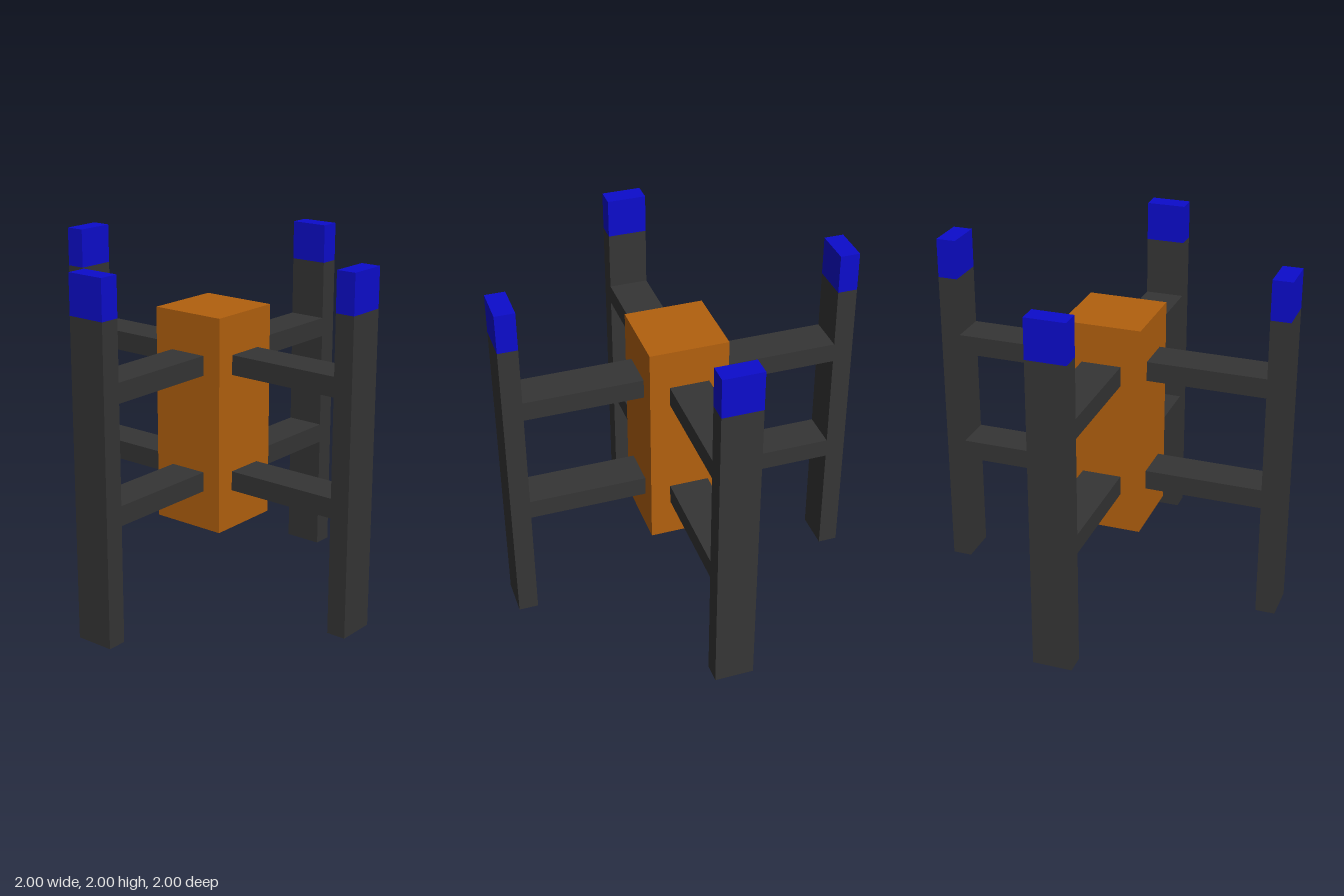
import * as THREE from 'three';

const U = 1 / 9; // the whole design sits on a grid of ninths

export function createModel() {
  const orange = new THREE.MeshStandardMaterial({ name: 'orange', color: 0xb2600e });
  const charcoal = new THREE.MeshStandardMaterial({ name: 'charcoal', color: 0x353535 });
  const blue = new THREE.MeshStandardMaterial({ name: 'blue', color: 0x0c0ccc });

  // Box given by its size and centre, in grid units
  function box(name, [w, h, d], [x, y, z], material) {
    const mesh = new THREE.Mesh(new THREE.BoxGeometry(w * U, h * U, d * U), material);
    mesh.position.set(x * U, y * U, z * U);
    mesh.name = name;
    return mesh;
  }

  const model = new THREE.Group();
  model.name = 'frame';
  model.add(box('core', [4, 11, 4], [0, 9.5, 0], orange));

  // Four identical sides: a post with a coloured tip and foot, held by two arms
  const postFaces = [charcoal, charcoal, charcoal, blue, charcoal, charcoal];
  ['left', 'back', 'right', 'front'].forEach((side, i) => {
    const support = new THREE.Group();
    support.name = side + 'Support';
    support.add(
      box('post', [1, 16, 2], [8.5, 8, 0], postFaces),
      box('postTip', [1, 2, 2], [8.5, 17, 0], blue),
      box('lowerArm', [6, 1, 2], [5, 6.5, 0], charcoal),
      box('upperArm', [6, 1, 2], [5, 12.5, 0], charcoal),
    );
    support.rotation.y = i * Math.PI / 2;
    model.add(support);
  });

  return model;
}
